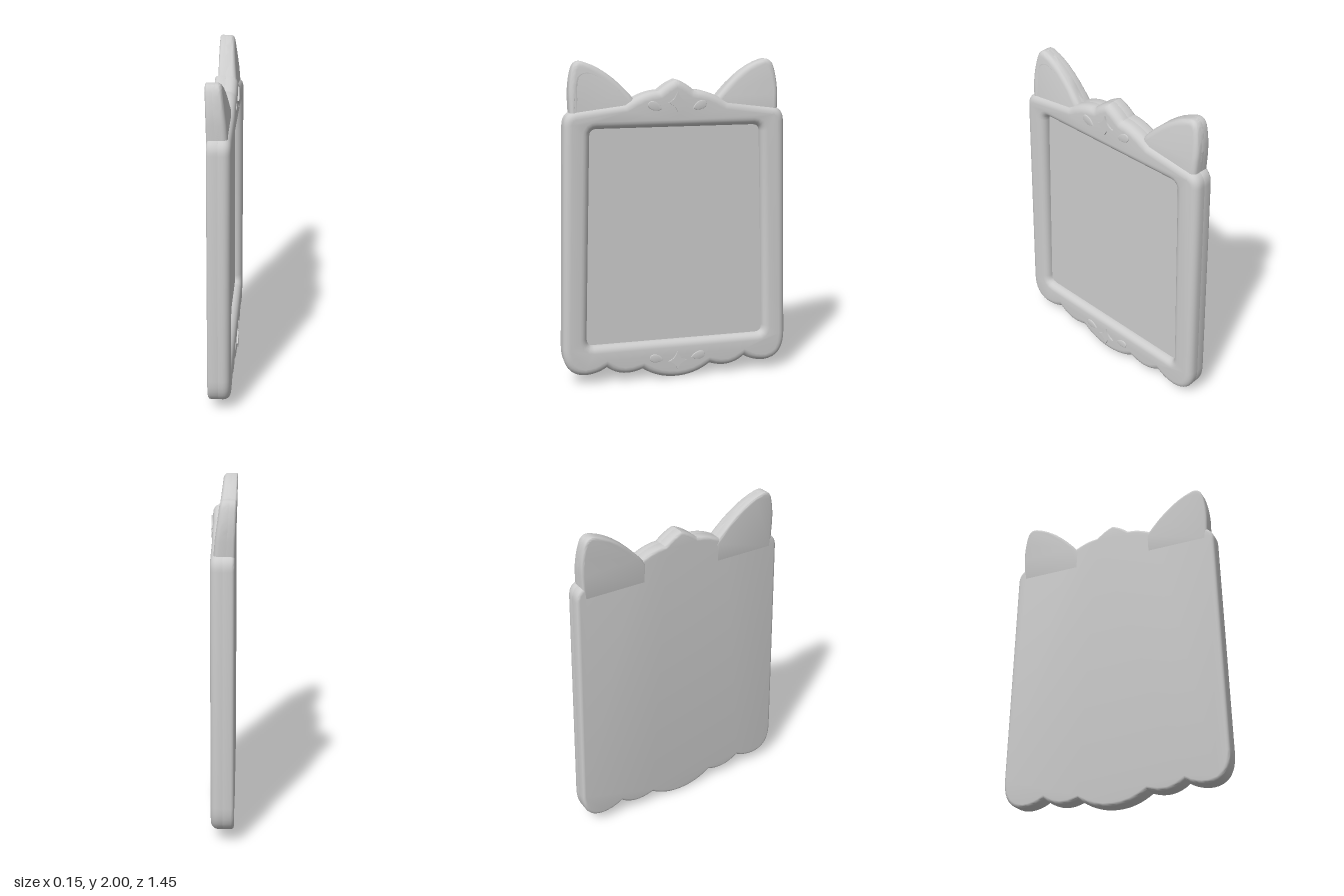
import * as THREE from 'three';
import { toCreasedNormals } from 'three/addons/utils/BufferGeometryUtils.js';

const grey = new THREE.MeshStandardMaterial({ color: 0xcccccc });
grey.name = 'pale grey';

// Extrusion between two depths with rounded rims that stay inside the outline
function slab(points, hole, z0, z1, bevel, segments = 5) {
  const shape = new THREE.Shape(points);
  if (hole) shape.holes.push(new THREE.Path(hole));
  const geo = new THREE.ExtrudeGeometry(shape, {
    depth: z1 - z0 - 2 * bevel, bevelEnabled: bevel > 0, bevelThickness: bevel,
    bevelSize: bevel, bevelOffset: -bevel, bevelSegments: segments,
  });
  geo.translate(0, 0, z0 + bevel);
  return geo;
}

function part(name, geo) {
  const mesh = new THREE.Mesh(toCreasedNormals(geo, 0.6), grey);
  mesh.name = name;
  return mesh;
}

const flip = (points) => points.map((p) => new THREE.Vector2(-p.x, p.y));

// Closes a half outline that starts and ends on the centre line
const mirrored = (half) => [...half, ...flip(half.slice(1, -1)).reverse()];

function frameOutline() {
  const p = new THREE.Path();
  p.moveTo(0, 0);
  p.quadraticCurveTo(0.12, 0, 0.22, 0.07);
  p.quadraticCurveTo(0.35, 0.02, 0.45, 0.1);
  p.quadraticCurveTo(0.51, 0.06, 0.59, 0.06);
  p.quadraticCurveTo(0.725, 0.07, 0.724, 0.24);
  p.lineTo(0.687, 1.62);
  p.quadraticCurveTo(0.685, 1.7, 0.61, 1.71);
  p.lineTo(0.32, 1.745);
  p.quadraticCurveTo(0.2, 1.82, 0.11, 1.82);
  p.quadraticCurveTo(0.05, 1.87, 0, 1.885);
  return mirrored(p.getPoints(8));
}

function openingOutline() {
  const p = new THREE.Path();
  p.moveTo(0, 0.25);
  p.lineTo(0.53, 0.25);
  p.quadraticCurveTo(0.573, 0.25, 0.572, 0.3);
  p.lineTo(0.532, 1.56);
  p.quadraticCurveTo(0.53, 1.6, 0.49, 1.6);
  p.lineTo(0, 1.6);
  return mirrored(p.getPoints(4));
}

function earOutline() {
  const p = new THREE.Path();
  p.moveTo(0.24, 1.62);
  p.lineTo(0.645, 1.62);
  p.lineTo(0.65, 1.78);
  p.quadraticCurveTo(0.65, 1.88, 0.625, 1.96);
  p.quadraticCurveTo(0.605, 2.01, 0.555, 1.995);
  p.quadraticCurveTo(0.4, 1.95, 0.24, 1.75);
  return p.getPoints(7);
}

function earHollow() {
  const p = new THREE.Path();
  p.moveTo(0.31, 1.66);
  p.lineTo(0.585, 1.66);
  p.lineTo(0.585, 1.78);
  p.quadraticCurveTo(0.585, 1.85, 0.57, 1.89);
  p.quadraticCurveTo(0.55, 1.91, 0.52, 1.9);
  p.quadraticCurveTo(0.4, 1.85, 0.31, 1.74);
  return p.getPoints(6);
}

// Ears lean back and get thinner towards the tip
function leanBack(geo) {
  const pos = geo.attributes.position;
  for (let i = 0; i < pos.count; i++) {
    const t = Math.max(0, (pos.getY(i) - 1.7) / 0.3);
    const front = (pos.getZ(i) + 0.07) / 0.12;
    pos.setZ(i, pos.getZ(i) - t * (0.01 + 0.03 * front));
  }
  return geo;
}

function star(y, up, down, wide) {
  const p = new THREE.Path();
  p.moveTo(0, y - down);
  p.quadraticCurveTo(0.012, y - 0.014, wide, y);
  p.quadraticCurveTo(0.014, y + 0.014, 0, y + up);
  return mirrored(p.getPoints(6));
}

// Teardrop with its tip at (x, y), swelling outwards
function petal(x, y, tilt) {
  const p = new THREE.Path();
  p.moveTo(0, 0);
  p.bezierCurveTo(0.03, -0.035, 0.09, -0.035, 0.092, 0);
  p.bezierCurveTo(0.09, 0.035, 0.03, 0.035, 0, 0);
  const pts = p.getPoints(8).slice(0, -1);
  return pts.map((q) => q.rotateAround(new THREE.Vector2(), tilt).add(new THREE.Vector2(x, y)));
}

export function createModel() {
  const model = new THREE.Group();
  model.name = 'earedFrame';
  const body = new THREE.Group();
  body.name = 'body';
  body.rotation.y = Math.PI / 2; // the face looks along +x
  model.add(body);

  const outline = frameOutline();
  const opening = openingOutline();
  body.add(part('backing', slab(outline, null, -0.07, 0.012, 0.018, 3)));
  body.add(part('frameRim', slab(outline, opening, -0.05, 0.065, 0.045)));
  body.add(part('panel', slab(opening, null, 0.005, 0.018, 0)));

  // Ears: a rounded rim around a sunken inner plate
  for (const side of [1, -1]) {
    const set = (pts) => (side > 0 ? pts : flip(pts).reverse());
    const name = side > 0 ? 'right' : 'left';
    const ear = new THREE.Group();
    ear.name = name + 'Ear';
    ear.add(part('earRim', leanBack(slab(set(earOutline()), set(earHollow()), -0.05, 0.05, 0.03))));
    ear.add(part('earBack', leanBack(slab(set(earOutline()), null, -0.07, 0.018, 0.015, 3))));
    body.add(ear);
    // Petals beside the stars
    body.add(part(name + 'TopPetal', slab(set(petal(0.096, 1.712, 0.4)), null, 0.055, 0.07, 0.004, 2)));
    body.add(part(name + 'BottomPetal', slab(set(petal(0.09, 0.132, 0.2)), null, 0.055, 0.07, 0.004, 2)));
  }

  // Four-pointed stars on the crest and the lower edge
  body.add(part('topStar', slab(star(1.75, 0.07, 0.055, 0.06), null, 0.055, 0.075, 0)));
  body.add(part('bottomStar', slab(star(0.118, 0.065, 0.06, 0.06), null, 0.055, 0.075, 0)));
  return model;
}
